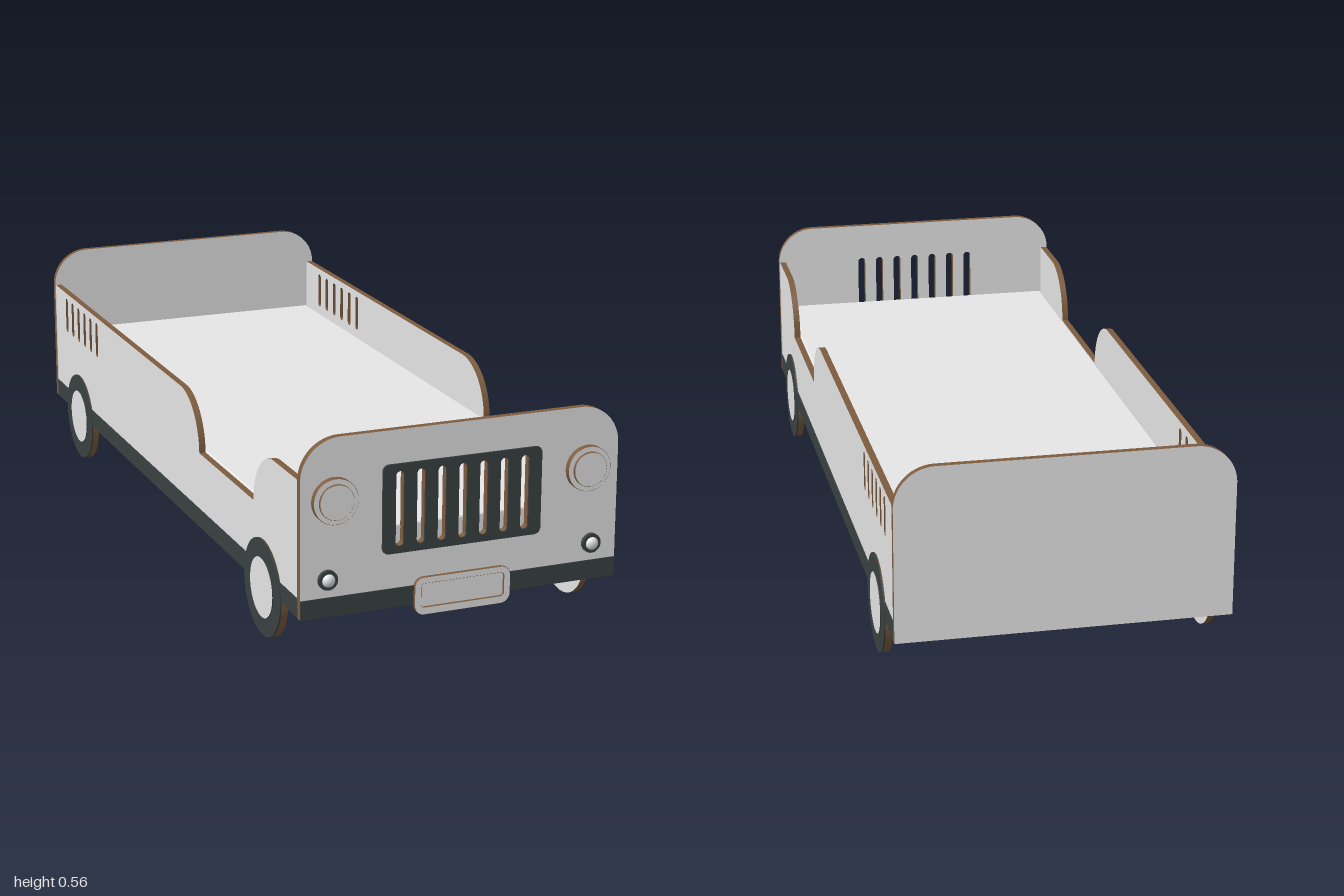
import * as THREE from 'three';
import { RoundedBoxGeometry } from 'three/addons/geometries/RoundedBoxGeometry.js';

const mat = (name, color) => {
  const m = new THREE.MeshStandardMaterial({ color });
  m.name = name;
  return m;
};

// Traces a rounded rectangle (top and bottom corner radii) on a Shape or Path
function roundRect(path, cx, y0, y1, w, rTop, rBottom = rTop) {
  const x0 = cx - w / 2, x1 = cx + w / 2, H = Math.PI / 2;
  path.moveTo(x0 + rBottom, y0);
  path.lineTo(x1 - rBottom, y0);
  if (rBottom) path.absarc(x1 - rBottom, y0 + rBottom, rBottom, -H, 0, false);
  path.lineTo(x1, y1 - rTop);
  path.absarc(x1 - rTop, y1 - rTop, rTop, 0, H, false);
  path.absarc(x0 + rTop, y1 - rTop, rTop, H, 2 * H, false);
  path.lineTo(x0, y0 + rBottom);
  if (rBottom) path.absarc(x0 + rBottom, y0 + rBottom, rBottom, 2 * H, 3 * H, false);
  return path;
}

const circle = (cls, x, y, r) => new cls().absarc(x, y, r, 0, Math.PI * 2, false);

export function createModel() {
  const group = new THREE.Group();
  const white = mat('white paint', 0xe6e6e6);
  const dark = mat('dark paint', 0x3a4141);
  const wood = mat('wood edge', 0x7d5c3e);
  const paleWood = mat('pale wood', 0xa58163);
  const board = [white, wood]; // painted faces, bare wood edges

  const add = (name, geo, material, x = 0, y = 0, z = 0) => {
    const m = new THREE.Mesh(geo, material);
    m.name = name;
    m.position.set(x, y, z);
    group.add(m);
    return m;
  };
  const extrude = (shape, depth) =>
    new THREE.ExtrudeGeometry(shape, { depth, bevelEnabled: false, curveSegments: 24 });
  // Small trim pieces with a chamfered wood edge
  const chamfered = (shape, depth, b = 0.001) =>
    new THREE.ExtrudeGeometry(shape, {
      depth: depth - 2 * b, bevelThickness: b, bevelSize: b, bevelOffset: -b, bevelSegments: 1, curveSegments: 24,
    }).translate(0, 0, b);
  // Shapes drawn in (z, y) and extruded across x between xa and xb
  const addSide = (name, shape, material, side, xa, xb) =>
    add(name, extrude(shape, xb - xa).rotateY(-Math.PI / 2), material, side > 0 ? xb : -xa);

  // Front and back boards
  const grilleSlots = () => Array.from({ length: 7 }, (_, i) =>
    roundRect(new THREE.Path(), (i - 3) * 0.0535, 0.275, 0.459, 0.021, 0.0104));
  const front = roundRect(new THREE.Shape(), 0, 0.123, 0.559, 0.816, 0.1, 0);
  front.holes.push(...grilleSlots());
  add('frontBoard', extrude(front, 0.0175), board, 0, 0, 0.9595);
  const back = roundRect(new THREE.Shape(), 0, 0.123, 0.559, 0.816, 0.1, 0);
  add('backBoard', extrude(back, 0.0165), board, 0, 0, -1);

  // Grille and front stripe
  const grille = roundRect(new THREE.Shape(), 0, 0.258, 0.477, 0.408, 0.016);
  grille.holes.push(...grilleSlots());
  add('grille', extrude(grille, 0.005), dark, 0, 0, 0.977);
  add('frontStripe', new THREE.BoxGeometry(0.816, 0.048, 0.002), dark, 0, 0.147, 0.978);

  // Bumper plate with a raised rim
  add('bumperPlate', extrude(roundRect(new THREE.Shape(), 0, 0.1, 0.19, 0.244, 0.023), 0.006), board, 0, 0, 0.977);
  const rim = roundRect(new THREE.Shape(), 0, 0.098, 0.192, 0.248, 0.025);
  rim.holes.push(roundRect(new THREE.Path(), 0, 0.117, 0.176, 0.214, 0.008));
  add('bumperRim', chamfered(rim, 0.007), board, 0, 0, 0.983);

  for (const s of [1, -1]) {
    // Headlights and fog lights
    add('headlightBase', chamfered(circle(THREE.Shape, 0, 0, 0.056), 0.016), board, s * 0.325, 0.408, 0.977);
    add('headlightLens', chamfered(circle(THREE.Shape, 0, 0, 0.043), 0.009), board, s * 0.325, 0.408, 0.991);
    add('fogLightRing', new THREE.CylinderGeometry(0.024, 0.024, 0.01, 32).rotateX(Math.PI / 2),
      dark, s * 0.341, 0.216, 0.982);
    add('fogLightLens', new THREE.SphereGeometry(0.016, 24, 12, 0, Math.PI * 2, 0, Math.PI / 2)
      .scale(1, 0.7, 1).rotateX(Math.PI / 2), white, s * 0.341, 0.216, 0.987);

    // Side board with the entry dip and vent slots
    const p = new THREE.Shape();
    p.moveTo(-0.984, 0.123);
    p.lineTo(0.96, 0.123);
    p.lineTo(0.96, 0.46);
    p.lineTo(0.81, 0.46);
    p.absarc(0.81, 0.32, 0.14, Math.PI / 2, Math.PI, false);
    p.lineTo(0.28, 0.32);
    p.absarc(0.14, 0.32, 0.14, 0, Math.PI / 2, false);
    p.lineTo(-0.984, 0.46);
    for (let i = 0; i < 6; i++)
      p.holes.push(roundRect(new THREE.Path(), -0.585 - i * 0.058, 0.344, 0.443, 0.021, 0.0104));
    addSide('sideBoard', p, board, s, 0.389, 0.406);
    add('sideStripe', new THREE.BoxGeometry(0.002, 0.048, 1.945), dark, s * 0.407, 0.147, -0.0115);

    // Wheels: wooden disc, dark tyre ring and a slightly proud white hub
    for (const z of [0.736, -0.757]) {
      addSide('wheelDisc', circle(THREE.Shape, z, 0.121, 0.121), board, s, 0.3905, 0.4075);
      const tyre = circle(THREE.Shape, z, 0.121, 0.121);
      tyre.holes.push(circle(THREE.Path, z, 0.121, 0.075));
      addSide('tyre', tyre, dark, s, 0.4075, 0.411);
      addSide('hub', circle(THREE.Shape, z, 0.121, 0.075), [white, dark], s, 0.4075, 0.413);
    }

    // Bed frame: pale support rails, with a darker strip below along the sides
    add('sideStrip', new THREE.BoxGeometry(0.018, 0.042, 1.944), wood, s * 0.38, 0.146, -0.012);
    add('sideRail', new THREE.BoxGeometry(0.022, 0.032, 1.944), paleWood, s * 0.378, 0.182, -0.012);
    add('endRail', new THREE.BoxGeometry(0.734, 0.032, 0.022), paleWood, 0, 0.181, s * 0.961 - 0.012);
  }

  // Slats
  for (let i = 0; i < 17; i++)
    add('slat', new THREE.BoxGeometry(0.734, 0.014, 0.046), paleWood, 0, 0.189, -0.012 + (i - 8) * 0.111);

  // Mattress
  add('mattress', new RoundedBoxGeometry(0.778, 0.127, 1.944, 3, 0.006), white, 0, 0.2595, -0.012);

  return group;
}
